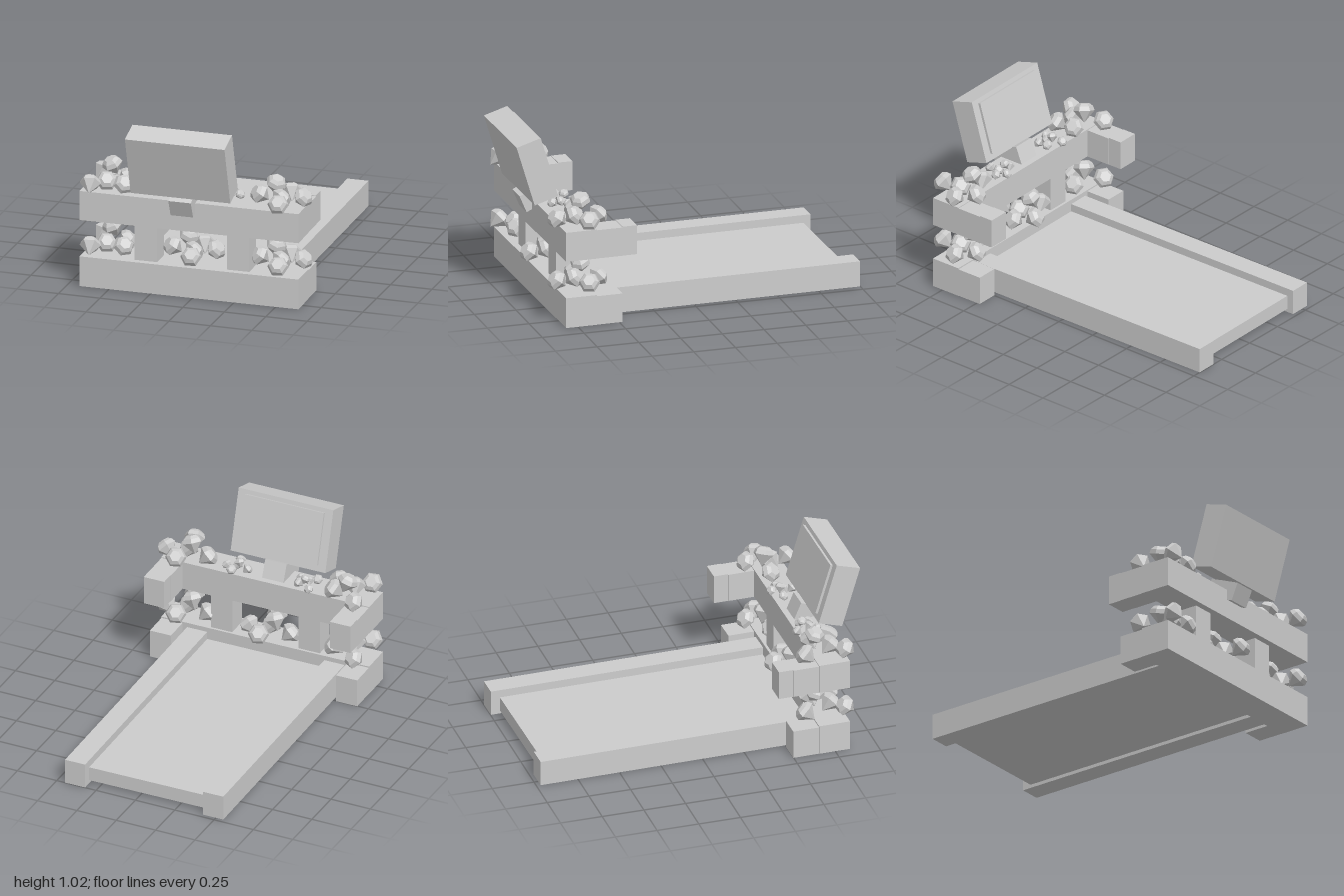
import * as THREE from 'three';

const grey = new THREE.MeshStandardMaterial({ color: 0xcccccc });
grey.name = 'lightGrey';

// Box given by its limits on each axis
function slab(parent, name, x0, x1, y0, y1, z0, z1) {
  const mesh = new THREE.Mesh(new THREE.BoxGeometry(x1 - x0, y1 - y0, z1 - z0), grey);
  mesh.position.set((x0 + x1) / 2, (y0 + y1) / 2, (z0 + z1) / 2);
  mesh.name = name;
  parent.add(mesh);
  return mesh;
}

// Six-sided cut gem: pointed pavilion, girdle, crown and flat table
const GEM_R = 0.062, GEM_DEPTH = 0.07;
const FACE = GEM_R * Math.cos(Math.PI / 6);
const LIE = Math.atan2(GEM_DEPTH, FACE); // tilt that rests a pavilion facet on the ground
const REST = GEM_DEPTH * FACE / Math.hypot(GEM_DEPTH, FACE);

function gemGeometry() {
  const profile = [[0, -GEM_DEPTH], [GEM_R, 0], [0.053, 0.025], [0.033, 0.042], [0, 0.042]]
    .map(([x, y]) => new THREE.Vector2(x, y));
  const geo = new THREE.LatheGeometry(profile, 6, Math.PI / 6).toNonIndexed();
  geo.computeVertexNormals();
  return geo;
}

// Gem piles: x, z, heading, and optional height and tilt for the stacked gem
const RIGHT_PILE = [
  [0.52, 0.84, 0.2], [0.50, 0.73, 2.4], [0.615, 0.675, 1.2], [0.52, 0.595, 3.5],
  [0.36, 0.69, -0.9], [0.455, 0.68, 0.9, 0.113, 0.45],
];
const LEFT_PILE = [
  [-0.615, 0.59, 2.6], [-0.615, 0.83, 3.3], [-0.54, 0.76, 0.4], [-0.43, 0.785, 0.7],
  [-0.445, 0.67, 1.9], [-0.535, 0.67, -0.8, 0.113, 0.45],
];

function gemPile(name, geo, pile, cx, cz, y, dx = 0, dz = 0, scale = 1) {
  const group = new THREE.Group();
  group.name = name;
  for (const [x, z, heading, lift = REST, tilt = LIE] of pile) {
    const gem = new THREE.Mesh(geo, grey);
    gem.name = 'gem';
    gem.position.set(x - cx, lift, z - cz);
    gem.rotation.set(tilt, heading, 0, 'YXZ');
    group.add(gem);
  }
  group.position.set(cx + dx, y, cz + dz);
  group.scale.setScalar(scale);
  return group;
}

export function createModel() {
  const model = new THREE.Group();
  model.name = 'treadmillWithGems';

  // Machine, turned very slightly about the upright axis
  const machine = new THREE.Group();
  machine.name = 'treadmill';
  machine.position.x = -0.036;
  machine.rotation.y = 0.0135;
  model.add(machine);

  // Running deck and side rails
  slab(machine, 'runningDeck', -0.375, 0.375, 0.02, 0.105, -0.939, 0.65);
  slab(machine, 'leftRail', 0.37, 0.497, 0, 0.152, -0.993, 0.65);
  slab(machine, 'rightRail', -0.497, -0.37, 0, 0.152, -0.981, 0.65);

  // Lower and upper cross beams with rear-facing arms
  slab(machine, 'lowerBeam', -0.653, 0.661, 0, 0.18, 0.645, 0.83);
  slab(machine, 'upperBeam', -0.653, 0.661, 0.4, 0.576, 0.645, 0.83);
  for (const [x0, x1] of [[-0.651, -0.517], [0.526, 0.659]]) {
    slab(machine, 'lowerArm', x0, x1, 0, 0.172, 0.489, 0.645);
    slab(machine, 'upperArm', x0, x1, 0.4, 0.571, 0.489, 0.645);
    slab(machine, 'upperArmEnd', x0 + 0.002, x1 - 0.002, 0.4, 0.575, 0.403, 0.489);
  }

  // Posts between the beams
  for (const x of [-0.267, 0.286]) slab(machine, 'post', x - 0.067, x + 0.067, 0.18, 0.4, 0.66, 0.79);

  // Console neck
  const neck = slab(machine, 'consoleNeck', -0.0675, 0.0675, -0.054, 0.054, -0.1, 0.1);
  neck.position.set(-0.028, 0.589, 0.792);
  neck.rotation.x = 0.4;

  // Tilted console with a raised screen facing the runner
  const consoleGroup = new THREE.Group();
  consoleGroup.name = 'console';
  consoleGroup.position.set(-0.027, 0.821, 0.875);
  consoleGroup.rotation.x = 0.293;
  machine.add(consoleGroup);
  slab(consoleGroup, 'consoleBody', -0.299, 0.299, -0.188, 0.188, -0.0735, 0.0735);
  slab(consoleGroup, 'screen', -0.249, 0.249, -0.15, 0.162, -0.0885, -0.0735);

  // Gem piles on both beams
  const gem = gemGeometry();
  for (const y of [0.21, 0.585]) {
    model.add(gemPile('rightGemPile', gem, LEFT_PILE, -0.53, 0.71, y));
    model.add(gemPile('leftGemPile', gem, RIGHT_PILE, 0.5, 0.71, y));
  }
  model.add(gemPile('middleGemPile', gem, RIGHT_PILE, 0.5, 0.71, 0.21, -0.525));

  // Small gems beside the console neck
  model.add(gemPile('smallRightGems', gem, LEFT_PILE, -0.53, 0.71, 0.585, 0.27, -0.01, 0.5));
  model.add(gemPile('smallLeftGems', gem, RIGHT_PILE, 0.5, 0.71, 0.585, -0.32, -0.01, 0.5));

  return model;
}
